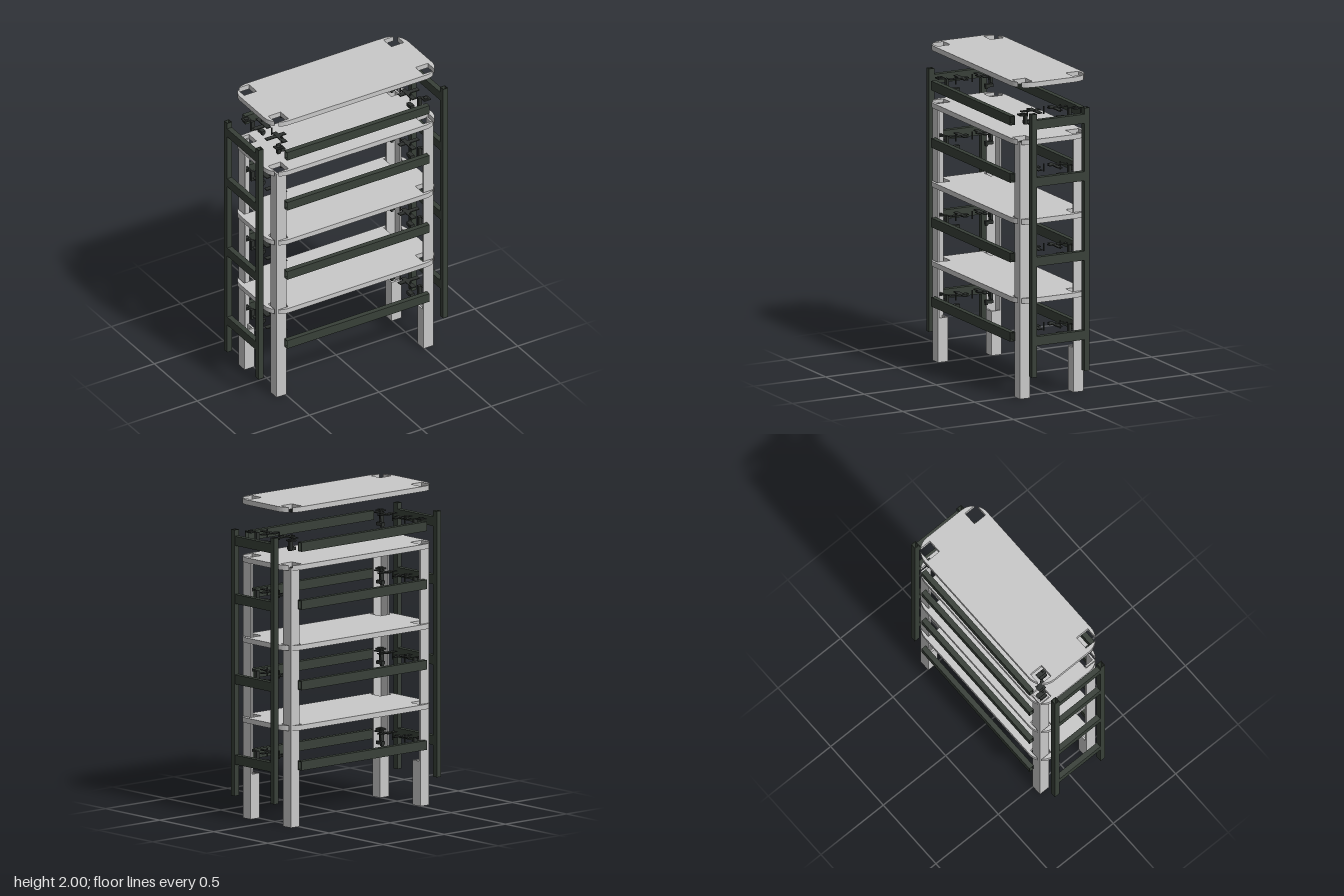
import * as THREE from 'three';

const light = new THREE.MeshStandardMaterial({ color: 0xc9c9c9 });
light.name = 'light grey panel';
const dark = new THREE.MeshStandardMaterial({ color: 0x384038 });
dark.name = 'dark green frame';
const black = new THREE.MeshStandardMaterial({ color: 0x2e322f });
black.name = 'black fittings';

function add(parent, name, geometry, material, x = 0, y = 0, z = 0) {
  const mesh = new THREE.Mesh(geometry, material);
  mesh.name = name;
  mesh.position.set(x, y, z);
  parent.add(mesh);
  return mesh;
}

const box = (w, h, d) => new THREE.BoxGeometry(w, h, d);

function rectPath(w, h, Type) {
  const p = new Type();
  p.moveTo(-w / 2, -h / 2);
  p.lineTo(w / 2, -h / 2);
  p.lineTo(w / 2, h / 2);
  p.lineTo(-w / 2, h / 2);
  p.closePath();
  return p;
}

// Open-ended rectangular tube, centred, running along z
function tube(w, h, length, wall) {
  const s = rectPath(w, h, THREE.Shape);
  s.holes.push(rectPath(w - 2 * wall, h - 2 * wall, THREE.Path));
  return new THREE.ExtrudeGeometry(s, { depth: length, bevelEnabled: false }).translate(0, 0, -length / 2);
}

// Rounded board whose square leg openings break through the corners
function shelfGeometry() {
  const cx = 0.495, cz = 0.14, r = 0.11, hx0 = 0.485, hx1 = 0.575, hz0 = 0.14, hz1 = 0.23;
  const arc = (a, b) => Array.from({ length: 5 }, (_, i) => {
    const t = THREE.MathUtils.degToRad(a + (b - a) * i / 4);
    return [cx + r * Math.cos(t), cz + r * Math.sin(t)];
  });
  const corner = [...arc(0, 43.3), [hx1, hz0], [hx0, hz0], [hx0, hz1], ...arc(54.9, 90)];
  const points = [];
  for (const [sx, sz] of [[1, 1], [-1, 1], [-1, -1], [1, -1]]) {
    const part = corner.map(([x, z]) => new THREE.Vector2(x * sx, z * sz));
    points.push(...(sx * sz > 0 ? part : part.reverse()));
  }
  return new THREE.ExtrudeGeometry(new THREE.Shape(points), { depth: 0.032, bevelEnabled: false })
    .rotateX(-Math.PI / 2);
}

// Leg: closed square foot, open angle section above it
function addLeg(root, sx, sz) {
  const leg = new THREE.Group();
  leg.name = 'leg';
  leg.position.set(sx * 0.53, 0, sz * 0.186);
  const size = 0.072, wall = 0.012, foot = 0.28, top = 1.62, h = top - foot;
  add(leg, 'legFoot', tube(size, size, foot, wall).rotateX(-Math.PI / 2), light, 0, foot / 2, 0);
  const off = (size - wall) / 2;
  add(leg, 'legSideWall', box(wall, h, size), light, sx * off, foot + h / 2, 0);
  add(leg, 'legFaceWall', box(size - wall, h, wall), light, -sx * wall / 2, foot + h / 2, sz * off);
  root.add(leg);
}

// Corner fitting: cap, crossed plates, lug and foot
function addBracket(root, sx, sz, y) {
  const bracket = new THREE.Group();
  bracket.name = 'cornerBracket';
  const put = (name, w, h, d, x, dy, z) => add(bracket, name, box(w, h, d), black, sx * x, y + dy, sz * z);
  put('capPlate', 0.047, 0.008, 0.047, 0.531, 0.034, 0.187);
  put('capStep', 0.026, 0.006, 0.026, 0.531, 0.04, 0.187);
  put('crossPlate', 0.14, 0.006, 0.03, 0.48, 0.034, 0.07);
  put('longPlate', 0.03, 0.006, 0.13, 0.465, 0.036, 0.095);
  put('cornerLug', 0.025, 0.068, 0.018, 0.508, 0.0, 0.154);
  put('clipBlock', 0.028, 0.02, 0.05, 0.465, -0.032, 0.115);
  put('clipFoot', 0.016, 0.016, 0.016, 0.465, -0.044, 0.1);
  root.add(bracket);
}

export function createModel() {
  const root = new THREE.Group();
  root.name = 'explodedShelfUnit';
  const sides = [-1, 1];
  const levels = [0.385, 0.886, 1.388, 1.75];
  const shelves = [0.606, 1.106, 1.606, 1.968];

  // Shelves and the loose bolts below them
  const board = shelfGeometry();
  const bolt = box(0.018, 0.02, 0.018);
  const pin = new THREE.CylinderGeometry(0.005, 0.005, 0.05, 8);
  shelves.forEach((y, i) => {
    add(root, 'shelf', board, light, 0, y, 0);
    for (const sx of sides) {
      for (const z of [-0.114, 0, 0.114]) {
        add(root, 'bolt', bolt, black, sx * 0.463, y - 0.016, z);
        add(root, 'pin', pin, black, sx * 0.463, levels[i] + 0.027, z);
      }
    }
  });

  // Legs and corner fittings
  for (const sx of sides) {
    for (const sz of sides) {
      addLeg(root, sx, sz);
      for (const y of levels) addBracket(root, sx, sz, y);
    }
  }

  // Long hollow rails at front and back
  const rail = tube(0.033, 0.058, 1.025, 0.004).rotateY(Math.PI / 2);
  for (const y of levels) {
    for (const sz of sides) add(root, 'longRail', rail, dark, 0, y, sz * 0.244);
  }

  // Ladder-like end frames
  const post = tube(0.036, 0.036, 1.66, 0.004).rotateX(-Math.PI / 2);
  const rung = box(0.034, 0.058, 0.33);
  for (const sx of sides) {
    const frame = new THREE.Group();
    frame.name = 'endFrame';
    frame.position.x = sx * 0.665;
    for (const sz of sides) add(frame, 'framePost', post, dark, 0, 0.988, sz * 0.183);
    for (const y of levels) add(frame, 'frameRung', rung, dark, 0, y, 0);
    root.add(frame);
  }
  return root;
}
